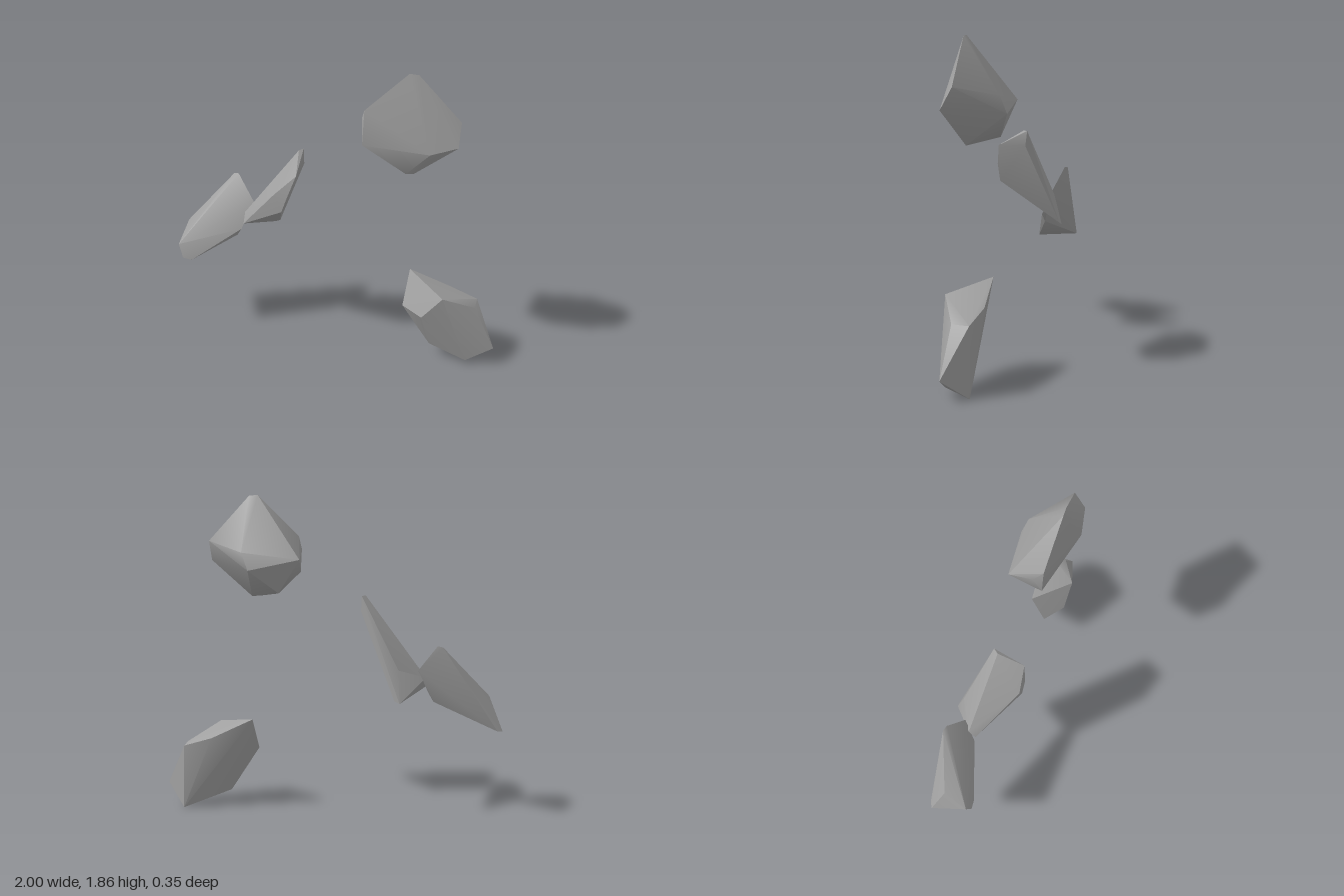
import * as THREE from 'three';
import { ConvexGeometry } from 'three/addons/geometries/ConvexGeometry.js';
import { toCreasedNormals } from 'three/addons/utils/BufferGeometryUtils.js';

const stone = new THREE.MeshStandardMaterial({ color: 0xa0a0a0 });
stone.name = 'stone grey';

// Each shard is the convex hull of its chipped corners.
function makeShard(name, corners) {
  const points = corners.map(([x, y, z]) => new THREE.Vector3(x, y, z));
  const mesh = new THREE.Mesh(toCreasedNormals(new ConvexGeometry(points), 0.65), stone);
  mesh.name = name;
  return mesh;
}

export function createModel() {
  const group = new THREE.Group();
  group.name = 'floatingRockShards';

  // Broad pointed shard at the top
  group.add(makeShard('upperShard', [
    [0.44, 1.855, 0.09], [0.49, 1.85, 0.085],
    [0.2, 1.62, 0.09], [0.175, 1.55, 0.04], [0.17, 1.5, -0.1], [0.19, 1.41, 0.09],
    [0.725, 1.59, 0.05], [0.725, 1.47, 0.12], [0.58, 1.43, 0.16],
    [0.46, 1.44, -0.15], [0.5, 1.54, -0.125],
    [0.48, 1.265, 0.08], [0.44, 1.265, 0.09], [0.3, 1.3, -0.05],
  ]));

  // Thin upright sliver in the middle
  group.add(makeShard('middleShard', [
    [-0.18, 1.29, -0.03], [-0.2, 1.29, 0], [-0.175, 1.2, 0.15], [-0.175, 1.2, -0.02],
    [-0.22, 1.08, 0.175], [-0.3, 1.08, 0.175], [-0.26, 0.97, 0.175],
    [-0.555, 0.82, -0.03], [-0.555, 0.76, 0.01],
    [-0.4, 0.88, -0.13], [-0.41, 0.695, -0.175], [-0.38, 0.71, -0.17],
  ]));

  // Slanted shard on the right side
  group.add(makeShard('rightShard', [
    [-0.62, 1.025, -0.125], [-0.65, 1.02, -0.135], [-0.92, 0.72, -0.02],
    [-0.94, 0.62, 0.12], [-0.91, 0.54, 0.14], [-0.86, 0.525, 0.13],
    [-1, 0.525, -0.08], [-0.97, 0.53, -0.1],
    [-0.6, 0.67, 0], [-0.57, 0.72, 0.01], [-0.51, 0.87, -0.07],
  ]));

  // Blocky shard at the bottom
  group.add(makeShard('lowerShard', [
    [0.46, 0.55, -0.07], [0.69, 0.49, 0.115], [0.57, 0.34, 0.115], [0.44, 0.35, 0.03],
    [0.87, 0.385, -0.1], [0.87, 0.385, 0], [0.7, 0.44, -0.115],
    [1, 0.12, 0.01], [0.88, 0, -0.105], [0.84, 0.03, 0.05], [0.61, 0.085, 0.01],
  ]));

  return group;
}
